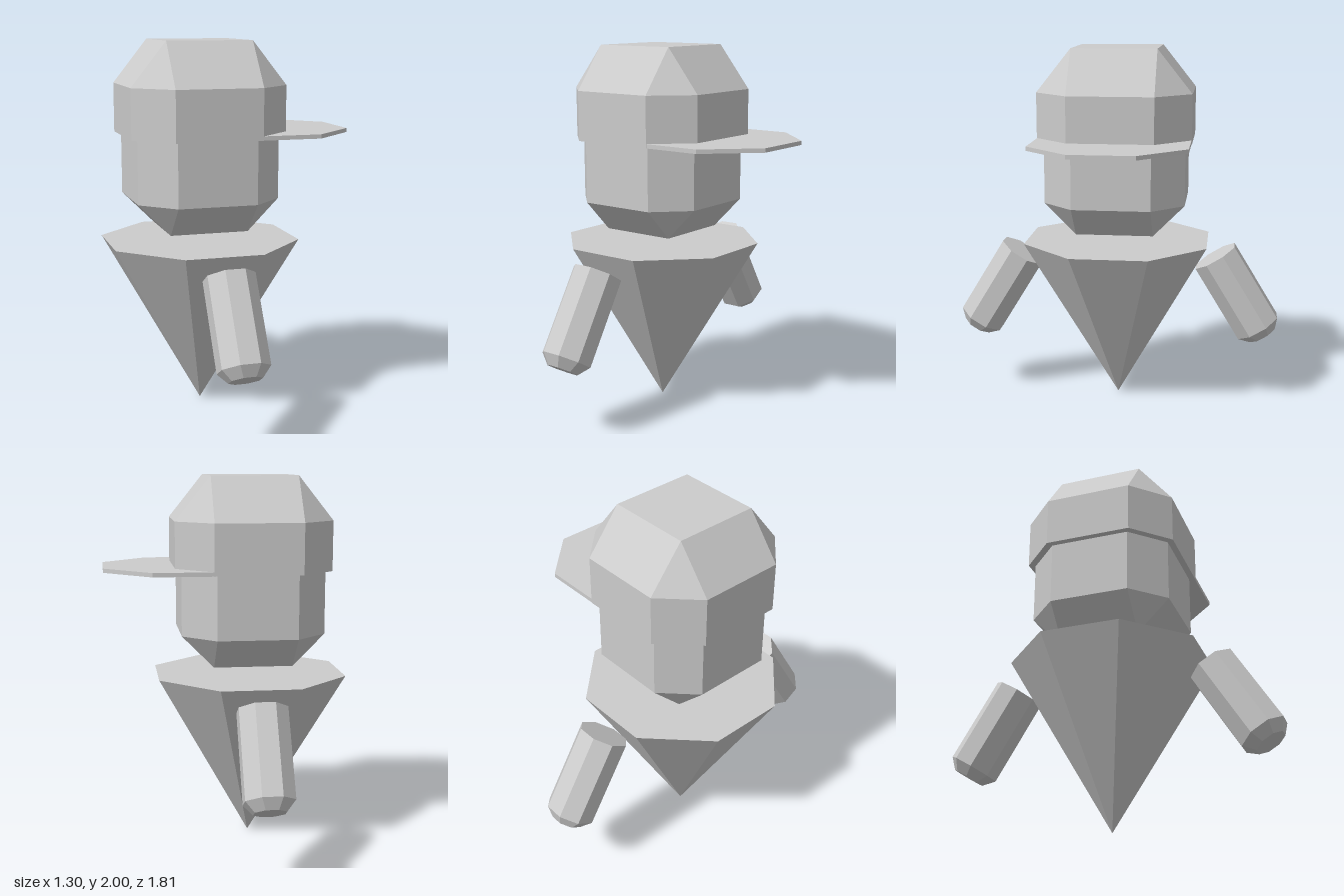
import * as THREE from 'three';
import { ConvexGeometry } from 'three/addons/geometries/ConvexGeometry.js';

const CENTRE_X = -0.144;
const material = new THREE.MeshStandardMaterial({ color: 0xcccccc, flatShading: true });

function addMesh(parent, name, geometry) {
  const mesh = new THREE.Mesh(geometry, material);
  mesh.name = name;
  parent.add(mesh);
  return mesh;
}

// Eight-sided cylinder with flats facing x and z; radii measured to the flats
function octagonPrism(top, bottom, height) {
  const k = 1 / Math.cos(Math.PI / 8);
  return new THREE.CylinderGeometry(top * k, bottom * k, height, 8).rotateY(Math.PI / 8);
}

// Convex block from levels: [y, inner half] is a square, [y, inner, outer] a corner-cut square
function bevelledBlock(levels) {
  const points = [];
  for (const [y, inner, outer = inner] of levels) {
    for (const sx of [-1, 1]) for (const sz of [-1, 1]) {
      points.push(new THREE.Vector3(sx * inner, y, sz * outer));
      if (outer !== inner) points.push(new THREE.Vector3(sx * outer, y, sz * inner));
    }
  }
  return new ConvexGeometry(points);
}

export function createModel() {
  const model = new THREE.Group();
  model.name = 'figure';

  // Inverted cone body with a flat top
  const body = addMesh(model, 'body', octagonPrism(0.505, 0, 0.926));
  body.position.set(CENTRE_X, 0.463, 0);

  // Head, its upper part tucked inside the cap
  const head = addMesh(model, 'head', bevelledBlock([
    [0.99, 0.212], [1.162, 0.212, 0.383], [1.6, 0.212, 0.383],
  ]));
  head.position.x = CENTRE_X;

  // Cap crown
  const cap = addMesh(model, 'capCrown', bevelledBlock([
    [1.5, 0.23, 0.417], [1.766, 0.23, 0.417], [2, 0.23],
  ]));
  cap.position.x = CENTRE_X;

  // Cap brim, pointing to +x
  const outline = [[0.088, -0.415], [0.4, -0.415], [0.646, -0.172],
    [0.646, 0.172], [0.4, 0.415], [0.088, 0.415]];
  const brimShape = new THREE.Shape(outline.map(([x, z]) => new THREE.Vector2(x, z)));
  const brim = addMesh(model, 'capBrim',
    new THREE.ExtrudeGeometry(brimShape, { depth: 0.022, bevelEnabled: false }).rotateX(-Math.PI / 2));
  brim.position.y = 1.5;

  // Arms leaning outwards on both sides, each with a tapered tip
  for (const side of [1, -1]) {
    const arm = new THREE.Group();
    arm.name = side > 0 ? 'frontArm' : 'backArm';
    arm.position.set(-0.14, 0.836, side * 0.55);
    arm.rotation.x = -side * 0.55;
    addMesh(arm, 'sleeve', octagonPrism(0.126, 0.126, 0.476)).position.y = -0.238;
    addMesh(arm, 'hand', octagonPrism(0.126, 0.08, 0.055)).position.y = -0.5035;
    model.add(arm);
  }

  return model;
}
